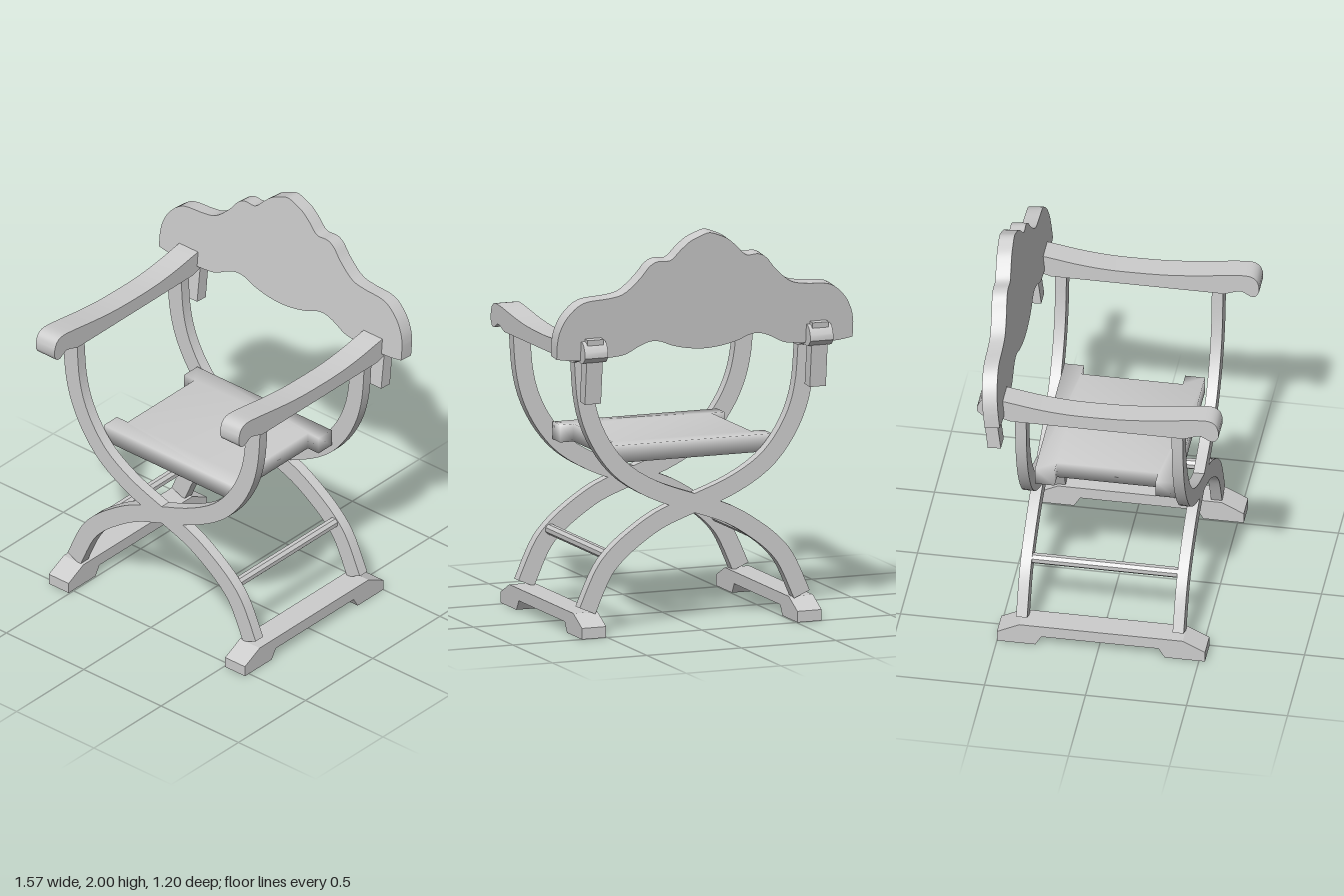
import * as THREE from 'three';
import { toCreasedNormals, mergeVertices } from 'three/addons/utils/BufferGeometryUtils.js';

const grey = new THREE.MeshStandardMaterial({ color: 0xcccccc });
grey.name = 'light grey';

const vecs = (pts) => pts.map(([x, y]) => new THREE.Vector2(x, y));

function extrude(points, depth) {
  return new THREE.ExtrudeGeometry(new THREE.Shape(points), { depth, bevelEnabled: false });
}

// Side profile given as (z, y), extruded across x and centred on x
function sideExtrude(points, width, x) {
  const geo = extrude(points, width).rotateY(-Math.PI / 2);
  return geo.translate(x + width / 2, 0, 0);
}

// Smooth run of points through a few control points
function smooth(pts, n) {
  return new THREE.SplineCurve(vecs(pts)).getPoints(n);
}

// Band of constant width following a centreline
function band(centre, half) {
  const left = [], right = [];
  centre.forEach((p, i) => {
    const a = centre[Math.max(i - 1, 0)], b = centre[Math.min(i + 1, centre.length - 1)];
    const t = b.clone().sub(a).normalize();
    left.push(new THREE.Vector2(p.x - t.y * half, p.y + t.x * half));
    right.push(new THREE.Vector2(p.x + t.y * half, p.y - t.x * half));
  });
  return right.concat(left.reverse());
}

export function createModel() {
  const group = new THREE.Group();
  const add = (name, geo) => {
    const mesh = new THREE.Mesh(geo, grey);
    mesh.name = name;
    group.add(mesh);
    return mesh;
  };
  const creased = (geo) => toCreasedNormals(geo, 0.5);

  // Crossed curved legs, front and back
  const centreline = [[-0.567, 0.12], [-0.49, 0.29], [-0.42, 0.38], [-0.32, 0.462], [-0.18, 0.548], [0, 0.615],
    [0.2, 0.69], [0.36, 0.785], [0.465, 0.9], [0.54, 1.04], [0.578, 1.19], [0.592, 1.38]];
  for (const [z, label] of [[0.365, 'front'], [-0.41, 'back']]) {
    for (const s of [1, -1]) {
      let line = smooth(centreline.map(([x, y]) => [x * s, y]), 36);
      if (s < 0) line = line.reverse();
      add(label + (s > 0 ? 'LegRising' : 'LegFalling') + 'Left',
        creased(extrude(band(line, 0.045), 0.055).translate(0, 0, z)));
    }
  }

  // Scrolled armrest profile
  const armTop = smooth([[0.6, 1.43], [0.585, 1.468], [0.545, 1.488], [0.46, 1.482], [0.3, 1.46], [0.15, 1.445],
    [0, 1.44], [-0.15, 1.441], [-0.3, 1.455], [-0.45, 1.48], [-0.54, 1.49], [-0.575, 1.475], [-0.595, 1.435]], 40);
  const armBottom = smooth([[-0.595, 1.412], [-0.56, 1.382], [-0.5, 1.385], [-0.43, 1.366]], 10)
    .concat(smooth([[0.43, 1.366], [0.5, 1.39], [0.53, 1.383], [0.56, 1.366], [0.585, 1.37], [0.6, 1.395]], 12));

  // Sled foot profile with arched underside
  const foot = vecs([[0.53, 0], [0.53, 0.055], [0.42, 0.11], [-0.39, 0.11], [-0.5, 0.055], [-0.5, 0],
    [-0.31, 0], [-0.28, 0.05], [0.3, 0.05], [0.33, 0]]);

  // Slanted post behind each end of the backrest
  const post = vecs([[-0.48, 1.18], [-0.52, 1.505], [-0.58, 1.5], [-0.545, 1.175]]);

  for (const s of [1, -1]) {
    const side = s > 0 ? 'left' : 'right';
    add(side + 'Armrest', creased(sideExtrude(armTop.concat(armBottom), 0.122, s * 0.596)));
    add(side + 'Foot', sideExtrude(foot, 0.128, s * 0.57));
    add(side + 'BackPost', sideExtrude(post, 0.085, s * 0.595));

    // Eight-sided stretcher joining front and back legs
    const bar = new THREE.CylinderGeometry(0.027, 0.027, 0.73, 8).toNonIndexed();
    bar.rotateY(Math.PI / 8).rotateX(Math.PI / 2).translate(s * 0.44, 0.38, 0.005);
    add(side + 'Stretcher', creased(bar));
  }

  // Scalloped backrest, leaning back
  const upper = [[0.783, 1.49], [0.77, 1.555], [0.728, 1.63], [0.65, 1.69], [0.52, 1.703], [0.44, 1.722],
    [0.36, 1.79], [0.31, 1.85], [0.265, 1.873], [0.2, 1.873], [0.15, 1.92], [0.1, 1.962], [0.05, 1.985], [0, 2]];
  const lower = [[0, 1.412], [0.09, 1.42], [0.175, 1.44], [0.235, 1.464], [0.29, 1.468], [0.35, 1.447],
    [0.42, 1.412], [0.5, 1.402], [0.6, 1.398], [0.7, 1.4], [0.783, 1.412]];
  const mirror = (pts) => pts.map(([x, y]) => [-x, y]).reverse();
  const top = smooth(upper.concat(mirror(upper).slice(1)), 96);
  const bottom = smooth(mirror(lower).concat(lower.slice(1)), 64);
  const back = extrude(top.concat(bottom), 0.075).translate(0, -1.4, -0.075);
  back.rotateX(-0.1).translate(0, 1.403, -0.46);
  add('backrest', creased(back));

  // Softly shaded seat pad with corner tabs
  const corner = [[0.365, 0.25], [0.435, 0.25], [0.435, 0.348]];
  const flip = (sx, sz) => corner.map(([x, z]) => [x * sx, z * sz]);
  const outline = [...flip(1, 1), ...flip(-1, 1).reverse(), ...flip(-1, -1), ...flip(1, -1).reverse()];
  let seat = extrude(vecs(outline), 0.087).rotateX(Math.PI / 2).translate(0, 0.918, 0.002);
  seat.deleteAttribute('normal');
  seat.deleteAttribute('uv');
  seat = mergeVertices(seat);
  seat.computeVertexNormals();
  add('seat', seat);

  return group;
}
